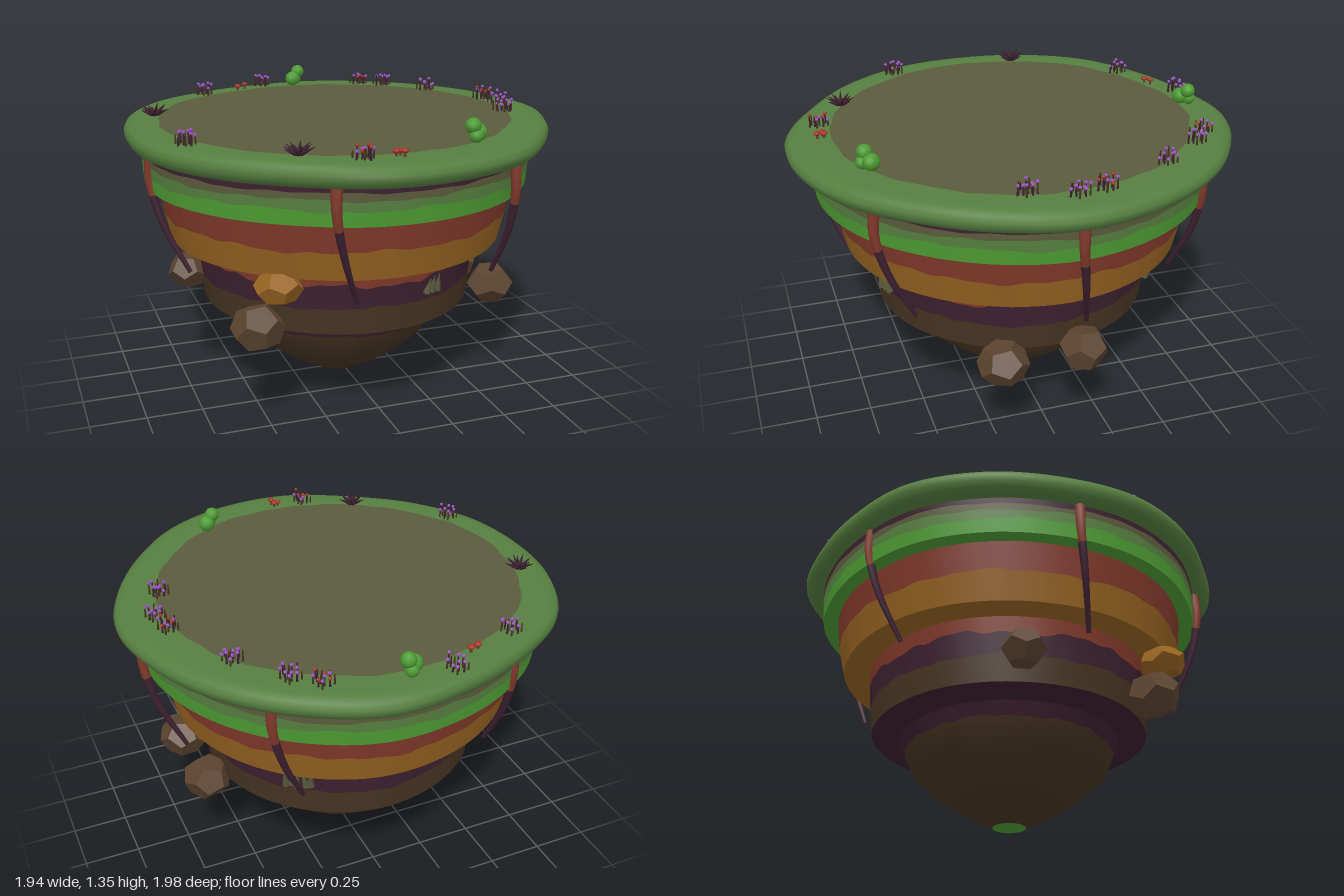
import * as THREE from 'three';

const mat = (name, color) => {
  const m = new THREE.MeshStandardMaterial({ color });
  m.name = name;
  return m;
};

// Uneven outline of the island: one radius every 20 degrees, from +x towards +z
const RADII = [0.97, 0.938, 0.932, 0.967, 0.988, 0.991, 0.948, 0.96, 0.976,
  0.972, 0.99, 1.0, 0.965, 0.965, 1.0, 0.98, 0.968, 0.963];
const outline = new THREE.CatmullRomCurve3(RADII.map((r, i) => {
  const a = i * Math.PI / 9;
  return new THREE.Vector3(Math.cos(a) * r, 0, Math.sin(a) * r);
}), true, 'catmullrom', 0.5);

const N = 144;
const wobble = (a, s) =>
  (Math.sin(7 * a + s) + 0.7 * Math.sin(17 * a + 2 * s) + 0.6 * Math.sin(31 * a + 3 * s)) / 2;

// Closed ring surface; each row is [radius, height, height wobble, radius wobble]
function ringSurface(rows) {
  const pos = [], idx = [];
  rows.forEach(([r, y, dy = 0, dr = 0]) => {
    const k = THREE.MathUtils.clamp((r - 0.8) / 0.17, 0.3, 1);
    for (let j = 0; j < N; j++) {
      const a = j / N * Math.PI * 2;
      const w = wobble(a, y * 40);
      const edge = 1 + k * (outline.getPoint(j / N).length() / 0.97 - 1);
      const rr = (r + dr * w) * edge;
      pos.push(Math.cos(a) * rr - 0.035 * (1 - k), y + dy * w, Math.sin(a) * rr - 0.018 * (1 - k));
    }
  });
  for (let i = 0; i < rows.length - 1; i++) {
    for (let j = 0; j < N; j++) {
      const a = i * N + j, b = i * N + (j + 1) % N;
      idx.push(a, b, a + N, b, b + N, a + N);
    }
  }
  const g = new THREE.BufferGeometry();
  g.setAttribute('position', new THREE.Float32BufferAttribute(pos, 3));
  g.setIndex(idx);
  g.computeVertexNormals();
  return g;
}

// Tapered tube along a curve between t0 and t1
function taperedTube(curve, t0, t1, radiusAt) {
  const pts = Array.from({ length: 9 }, (_, i) => curve.getPoint(t0 + (t1 - t0) * i / 8));
  const g = new THREE.TubeGeometry(new THREE.CatmullRomCurve3(pts), 8, 1, 7);
  const p = g.attributes.position, v = new THREE.Vector3();
  const path = g.parameters.path;
  for (let i = 0; i < p.count; i++) {
    const u = Math.floor(i / 8) / 8, c = path.getPointAt(u);
    v.fromBufferAttribute(p, i).sub(c).multiplyScalar(radiusAt(t0 + (t1 - t0) * u)).add(c);
    p.setXYZ(i, v.x, v.y, v.z);
  }
  return g;
}

export function createModel() {
  const root = new THREE.Group();
  root.name = 'floatingIsland';
  const M = {
    rim: mat('mossGreen', 0x567f40),
    olive: mat('olive', 0x5b5b3d),
    bright: mat('brightGreen', 0x4d9c33),
    rust: mat('rustRed', 0x80382a),
    ochre: mat('ochre', 0x986422),
    plum: mat('darkPlum', 0x3d2030),
    brown: mat('darkBrown', 0x463422),
    rock: mat('rockBrown', 0x5c4430),
    violet: mat('violet', 0x9a50c0),
    red: mat('red', 0xa83428),
  };
  const add = (parent, name, geo, material, p = [0, 0, 0]) => {
    const m = new THREE.Mesh(geo, material);
    m.name = name;
    m.position.set(...p);
    parent.add(m);
    return m;
  };
  const group = (name, p = [0, 0, 0]) => {
    const g = new THREE.Group();
    g.name = name;
    g.position.set(...p);
    root.add(g);
    return g;
  };
  let seed = 7;
  const rnd = () => (seed = (seed * 16807) % 2147483647) / 2147483647;

  // Top ground and the rolled grass rim
  const inner = [0.8, 1.243, 0, 0.008];
  add(root, 'topGround', ringSurface([[0, 1.243], inner]), M.olive);
  add(root, 'grassRim', ringSurface([inner, [0.88, 1.243], [0.925, 1.24], [0.955, 1.228],
    [0.969, 1.205], [0.966, 1.18], [0.95, 1.157], [0.92, 1.143], [0.86, 1.138]]), M.rim);

  // Earth layers, from top to bottom
  const layers = [
    ['rimShadowLine', M.plum, [[0.888, 1.142], [0.887, 1.115, 0.006]]],
    ['upperTurf', M.olive, [[0.887, 1.115, 0.006], [0.886, 1.085, 0.008]]],
    ['middleTurf', M.rim, [[0.886, 1.085, 0.008], [0.884, 1.042, 0.009]]],
    ['lowerTurf', M.bright, [[0.884, 1.042, 0.009], [0.878, 0.978]]],
    ['turfUnderside', M.bright, [[0.878, 0.978], [0.8, 0.975]]],
    ['redLayer', M.rust, [[0.812, 0.98], [0.797, 0.845, 0.011]]],
    ['ochreLayer', M.ochre, [[0.797, 0.845, 0.011], [0.768, 0.718]]],
    ['ochreUnderside', M.ochre, [[0.768, 0.718], [0.63, 0.71]]],
    ['lowerRedLayer', M.rust, [[0.652, 0.72], [0.646, 0.642, 0.016]]],
    ['plumLayer', M.plum, [[0.646, 0.642, 0.016], [0.637, 0.54, 0.008]]],
    ['brownLayer', M.brown, [[0.637, 0.54, 0.008], [0.626, 0.422]]],
    ['plumLedge', M.plum, [[0.626, 0.422], [0.5, 0.398]]],
    ['plumBand', M.plum, [[0.5, 0.398], [0.473, 0.34, 0.007]]],
    ['brownTip', M.brown, [[0.473, 0.34, 0.007], [0.432, 0.25], [0.35, 0.175], [0.25, 0.1], [0.075, 0]]],
    ['tipCap', M.bright, [[0.075, 0], [0, 0]]],
  ];
  layers.forEach(([name, m, rows]) => add(root, name, ringSurface(rows), m));

  // Hanging roots, red above and plum below
  const roots = group('hangingRoots');
  [110, 54, -2, -51, -123, 175].forEach((deg) => {
    const pts = [[0.885, 1.15, 0], [0.893, 1.03, 0], [0.855, 0.84, -2], [0.76, 0.62, -6]].map(([r, y, d]) => {
      const a = (deg + d) * Math.PI / 180;
      return new THREE.Vector3(Math.cos(a) * r - 0.01, y, Math.sin(a) * r);
    });
    const c = new THREE.CatmullRomCurve3(pts);
    const rad = (t) => 0.026 - 0.016 * t;
    add(roots, 'rootUpper', taperedTube(c, 0, 0.45, rad), M.rust);
    add(roots, 'rootLower', taperedTube(c, 0.45, 1, rad), M.plum);
  });

  // Boulders stuck in the sides
  [[-0.48, 0.67, 0.58, 0.105, 0.075, M.ochre], [-0.55, 0.47, 0.5, 0.118, 0.105, M.rock],
    [-0.71, 0.54, -0.12, 0.1, 0.085, M.rock], [0.67, 0.425, 0.235, 0.115, 0.098, M.rock],
    [0.67, 0.43, -0.13, 0.11, 0.1, M.rock]].forEach(([x, y, z, w, h, m], i) => {
    const b = add(group('boulder', [x, y, z]), 'boulderStone', new THREE.DodecahedronGeometry(1), m);
    b.parent.scale.set(w, h, w);
    b.rotation.set(i * 0.9 + 0.3, i * 1.7, i * 0.6);
  });

  // Clusters of pale spikes on the lower wall
  [[0.18, 0.585, 0.615, 3], [0.38, 0.585, -0.53, 5]].forEach(([x, y, z, n]) => {
    const g = group('spikeCluster', [x, y, z]);
    g.rotation.y = Math.atan2(x, z);
    for (let i = 0; i < n; i++) {
      const h = 0.075 + 0.04 * rnd();
      const s = add(g, 'spike', new THREE.ConeGeometry(0.017, h, 6), M.olive,
        [(i - (n - 1) / 2) * 0.027, h / 2, 0.012 + 0.02 * rnd()]);
      s.rotation.set(0.25, 0, (rnd() - 0.6) * 0.4);
    }
  });

  // Round bushes
  [[0.03, -0.84], [0.335, 0.7]].forEach(([x, z], i) => {
    const g = group('bush', [x, 1.243, z]);
    const s = i ? -1 : 1;
    [[-0.012, 0.035, 0.012, 0.038], [0.022, 0.068, -0.008, 0.034], [0.012, 0.028, -0.02, 0.03]].forEach(([a, b, c, r]) =>
      add(g, 'bushLeaves', new THREE.IcosahedronGeometry(r, 1), M.bright, [a * s, b, c * s]));
  });

  // Dark spiky plants
  [[-0.81, -0.26], [-0.42, 0.69]].forEach(([x, z]) => {
    const g = group('spikyPlant', [x, 1.245, z]);
    for (let i = 0; i < 14; i++) {
      const blade = new THREE.ConeGeometry(0.013, 0.075, 4).translate(0, 0.036, 0);
      const tilt = i % 2 ? 1.15 : 0.85;
      add(g, 'spikyLeaf', blade.rotateX(tilt).rotateY(i * Math.PI / 7), M.plum);
    }
  });

  // Flower tufts
  [[-0.48, -0.72], [-0.14, -0.88], [0.37, -0.77], [0.47, -0.69], [0.63, -0.48],
    [0.79, -0.15], [0.81, -0.03], [0.74, 0.16], [-0.2, 0.82], [-0.79, 0.36]].forEach(([x, z], t) => {
    const g = group('flowerTuft', [x, 1.24, z]);
    for (let i = 0; i < 13; i++) {
      const a = i * 2.4, r = 0.046 * Math.sqrt((i + 0.5) / 13), h = 0.03 + 0.028 * rnd();
      const px = Math.cos(a) * r, pz = Math.sin(a) * r;
      add(g, 'stem', new THREE.CylinderGeometry(0.0025, 0.005, h, 4), i % 2 ? M.plum : M.brown, [px, h / 2, pz]);
      if (i % 3) {
        const red = t % 3 === 2 && i % 2;
        add(g, 'blossom', new THREE.IcosahedronGeometry(0.0085, 0), red ? M.red : M.violet, [px, h, pz]);
      }
    }
  });

  // Little red mushrooms
  [[-0.29, -0.785], [-0.25, -0.8], [-0.07, 0.825], [-0.045, 0.85], [-0.05, 0.82]].forEach(([x, z], i) => {
    const h = 0.02 + 0.005 * (i % 2), g = group('mushroom', [x, 1.243, z]);
    add(g, 'mushroomStalk', new THREE.CylinderGeometry(0.005, 0.006, h, 6), M.rock, [0, h / 2, 0]);
    add(g, 'mushroomCap', new THREE.SphereGeometry(0.016, 10, 6), M.red, [0, h, 0]).scale.y = 0.6;
  });

  return root;
}
